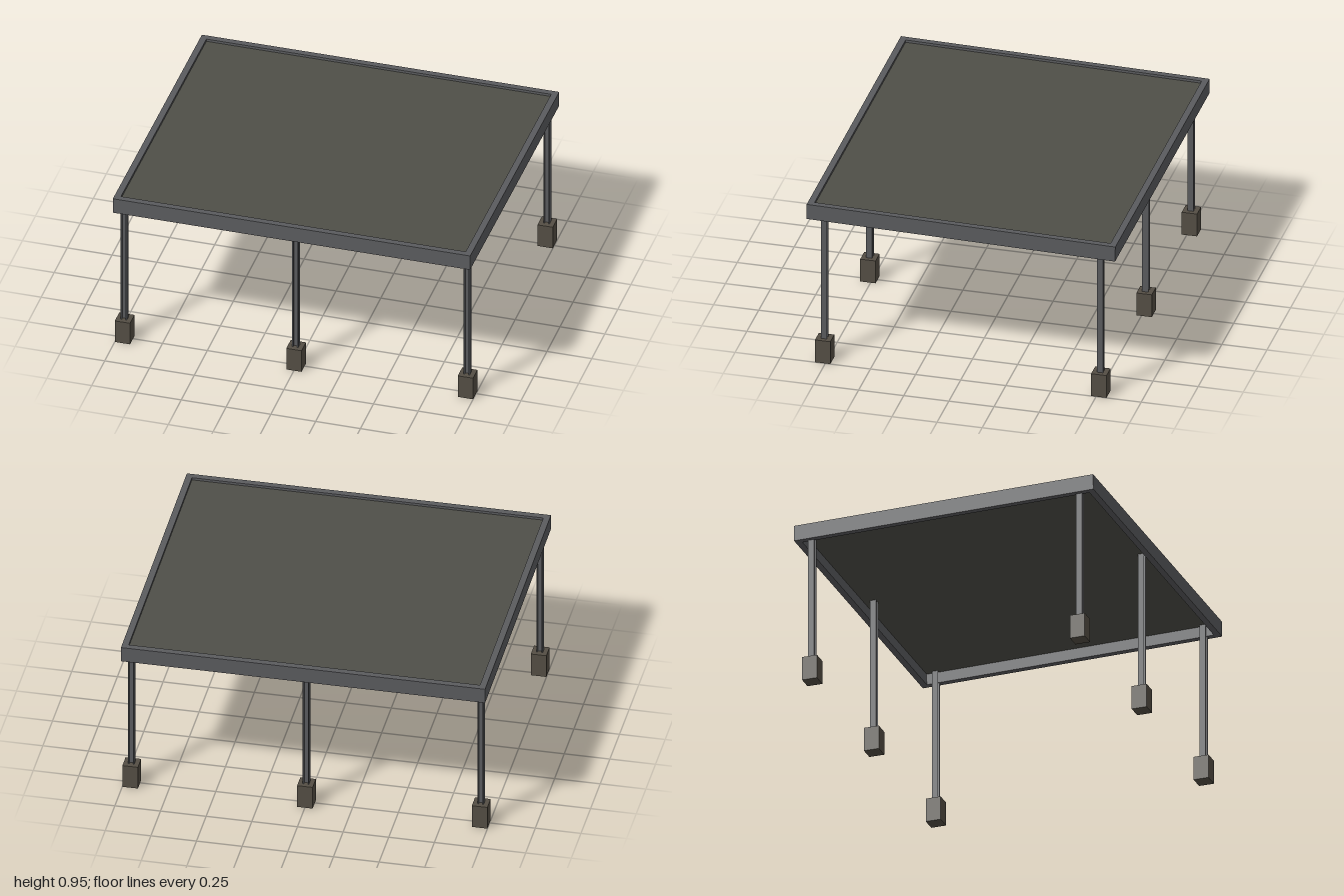
import * as THREE from 'three';

const steel = new THREE.MeshStandardMaterial({ color: 0x5a5b5e });
const sheet = new THREE.MeshStandardMaterial({ color: 0x4f4f48 });
const concrete = new THREE.MeshStandardMaterial({ color: 0x544e44 });

const HALF_X = 0.997, HALF_Z = 0.855;   // roof outline
const BEAM_W = 0.035, BEAM_H = 0.088;   // edge beams
const ROOF_Y = 0.89, TILT = 0.0175;     // roof rises toward the front
const FOOT_W = 0.085, FOOT_H = 0.135;

function box(name, size, pos, material, parent) {
  const mesh = new THREE.Mesh(new THREE.BoxGeometry(...size), material);
  mesh.name = name;
  mesh.position.set(...pos);
  parent.add(mesh);
  return mesh;
}

// H-section post standing from y0 to y1, flanges facing the sides
function makePost(y0, y1) {
  const w = 0.017, t = 0.006, web = 0.003;
  const half = [[web, w - t], [web, -(w - t)]];
  const shape = new THREE.Shape();
  shape.moveTo(-w, -w);
  [
    [-w + t, -w], [-w + t, -web], [w - t, -web], [w - t, -w], [w, -w],
    [w, w], [w - t, w], [w - t, web], [-w + t, web], [-w + t, w], [-w, w],
  ].forEach(([x, y]) => shape.lineTo(x, y));
  shape.closePath();
  const geometry = new THREE.ExtrudeGeometry(shape, { depth: y1 - y0, bevelEnabled: false });
  geometry.rotateX(-Math.PI / 2);
  const post = new THREE.Mesh(geometry, steel);
  post.name = 'post';
  post.position.y = y0;
  return post;
}

export function createModel() {
  const model = new THREE.Group();
  model.name = 'carport';

  // Tilted roof: four edge beams around a thin sunken sheet
  const roof = new THREE.Group();
  roof.name = 'roof';
  roof.position.y = ROOF_Y;
  roof.rotation.x = -TILT;
  model.add(roof);
  for (const s of [-1, 1]) {
    box('sideBeam', [BEAM_W, BEAM_H, 2 * HALF_Z], [s * (HALF_X - BEAM_W / 2), 0, 0], steel, roof);
    box(s > 0 ? 'frontBeam' : 'backBeam', [2 * (HALF_X - BEAM_W), BEAM_H, BEAM_W],
      [0, 0, s * (HALF_Z - BEAM_W / 2)], steel, roof);
  }
  box('roofSheet', [2 * (HALF_X - BEAM_W), 0.012, 2 * (HALF_Z - BEAM_W)],
    [0, BEAM_H / 2 - 0.02, 0], sheet, roof);

  // Two rows of three posts on concrete footings
  for (const z of [-0.765, 0.765]) {
    const top = ROOF_Y + z * Math.tan(TILT) + BEAM_H / 2 - 0.02;
    for (const x of [-0.957, 0, 0.957]) {
      const support = new THREE.Group();
      support.name = 'support';
      support.position.set(x, 0, z);
      support.add(makePost(FOOT_H, top));
      box('footing', [FOOT_W, FOOT_H, FOOT_W], [0, FOOT_H / 2, 0], concrete, support);
      model.add(support);
    }
  }
  return model;
}
